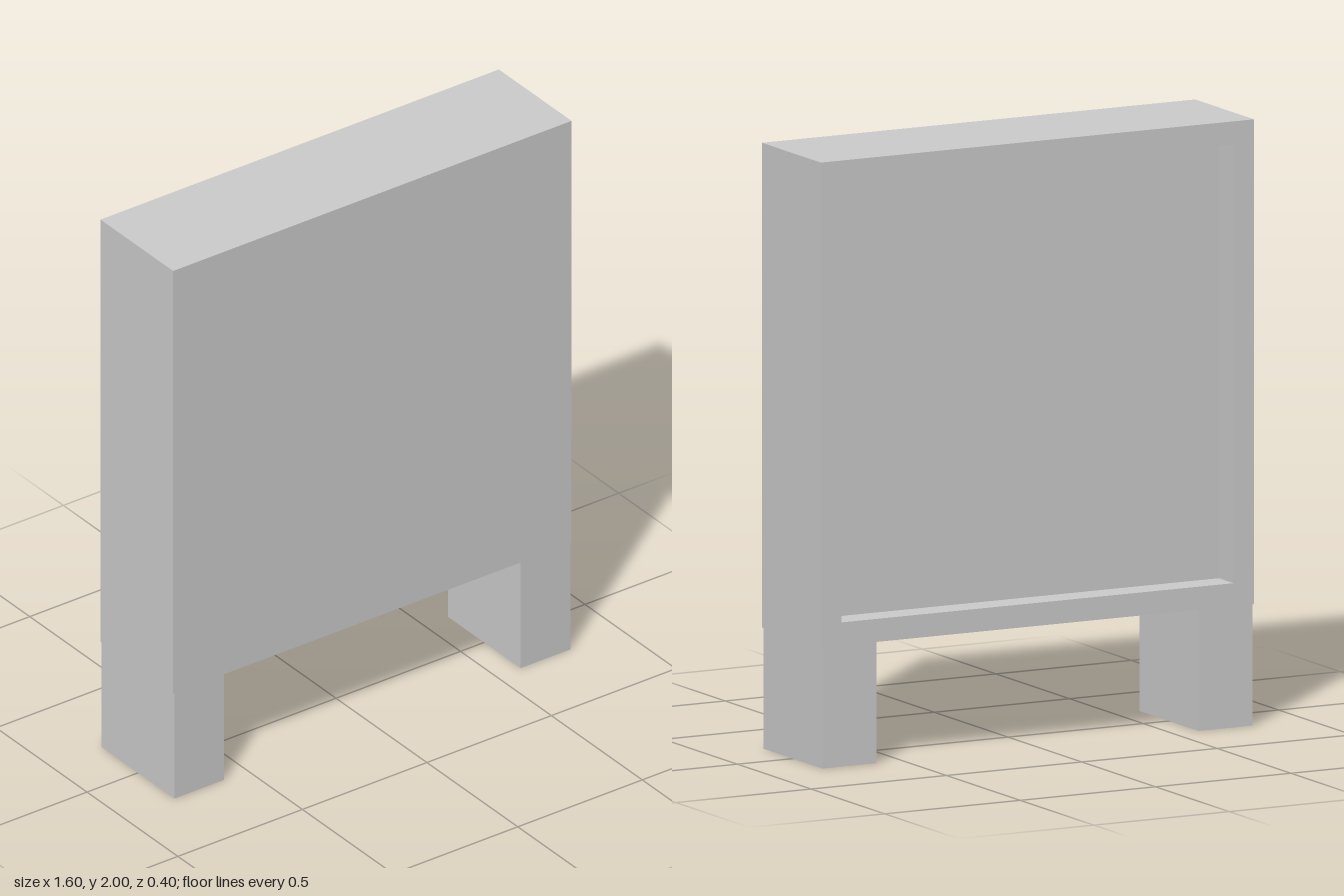
import * as THREE from 'three';

const W = 1.6, H = 1.6, D = 0.4; // cabinet size
const LEG_H = 0.4, LEG_W = 0.2;
const RIM = 0.076, RECESS = 0.1; // rim width and depth of the back recess

export function createModel() {
  const model = new THREE.Group();
  const material = new THREE.MeshStandardMaterial({ color: 0xcccccc, flatShading: true });
  const midY = LEG_H + H / 2;

  const add = (name, geometry, x, y, z) => {
    const mesh = new THREE.Mesh(geometry, material);
    mesh.name = name;
    mesh.position.set(x, y, z);
    model.add(mesh);
  };

  const rectangle = (target, w, h) => target
    .moveTo(-w / 2, -h / 2).lineTo(w / 2, -h / 2)
    .lineTo(w / 2, h / 2).lineTo(-w / 2, h / 2).closePath();

  // Solid front slab
  add('frontPanel', new THREE.BoxGeometry(W, H, D - RECESS), 0, midY, RECESS / 2);

  // Rim around the recessed back
  const rim = rectangle(new THREE.Shape(), W, H);
  rim.holes.push(rectangle(new THREE.Path(), W - 2 * RIM, H - 2 * RIM));
  add('backRim', new THREE.ExtrudeGeometry(rim, { depth: RECESS, bevelEnabled: false }), 0, midY, -D / 2);

  // Two block legs, set in slightly from the sides
  for (const side of [-1, 1]) {
    add(side > 0 ? 'leftLeg' : 'rightLeg', new THREE.BoxGeometry(LEG_W, LEG_H, D), side * 0.695, LEG_H / 2, 0);
  }

  return model;
}
